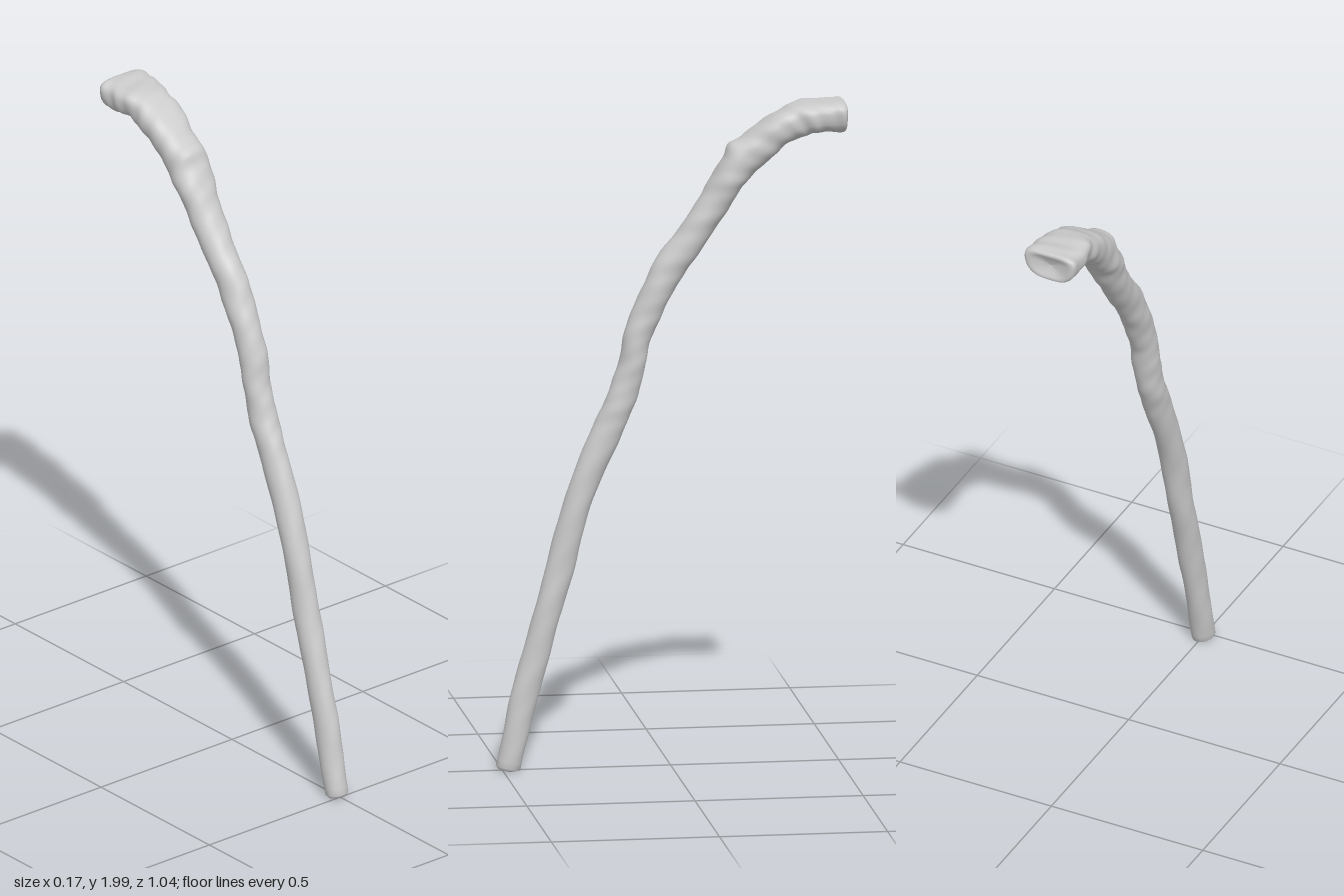
import * as THREE from 'three';

// Sections along the stick: y, z, half width in x, half thickness
const SECTIONS = [
  [0.008, 0.483, 0.034, 0.036], [0.2, 0.44, 0.035, 0.04], [0.4, 0.386, 0.037, 0.04],
  [0.6, 0.33, 0.038, 0.041], [0.8, 0.277, 0.039, 0.041], [1.0, 0.195, 0.040, 0.044],
  [1.1, 0.15, 0.041, 0.044], [1.2, 0.118, 0.042, 0.040], [1.3, 0.097, 0.043, 0.041],
  [1.4, 0.055, 0.044, 0.044], [1.5, 0.003, 0.046, 0.047], [1.6, -0.07, 0.048, 0.046],
  [1.7, -0.135, 0.056, 0.045], [1.785, -0.188, 0.064, 0.051], [1.86, -0.262, 0.066, 0.053],
  [1.918, -0.345, 0.072, 0.051], [1.942, -0.42, 0.081, 0.051], [1.942, -0.505, 0.09, 0.051],
];
const ROWS = 170, SIDES = 32;

function stickGeometry() {
  const spine = new THREE.CatmullRomCurve3(SECTIONS.map(([y, z]) => new THREE.Vector3(0, y, z)));
  const sizes = new THREE.CatmullRomCurve3(SECTIONS.map(([, , w, h]) => new THREE.Vector3(w, h, 0)));
  const positions = [], index = [];

  // One ring: t along the spine, scale shrinks it for the caps, push shifts it along the spine
  function addRing(t, scale, push) {
    const p = spine.getPoint(t), d = spine.getTangent(t), s = sizes.getPoint(t);
    const head = THREE.MathUtils.smoothstep(t, 0.65, 1);
    for (let j = 0; j < SIDES; j++) {
      const a = (j / SIDES) * Math.PI * 2, c = Math.cos(a), n = Math.sin(a);
      // Knobbly bark, stronger toward the head
      const bump = 1 + (0.025 + 0.015 * head) * (Math.sin(t * 95 + 2 * Math.sin(a)) * 0.6
        + Math.sin(t * 170 + 3 * a) * 0.5 + Math.sin(t * 61 - 2 * a));
      // Ledge on the upper side where the handle begins
      const ledge = 0.012 * Math.exp(-(((t - 0.79) / 0.012) ** 2)) * Math.max(0, n);
      // Head is squarer, wider above than below, with a slight groove on top and bottom
      const power = 1 - 0.25 * head;
      const cx = Math.sign(c) * Math.abs(c) ** power * (1 + 0.12 * head * (n - 0.6));
      const nn = Math.sign(n) * Math.abs(n) ** power * (1 - 0.1 * head * n * n * (1 - c * c));
      const x = s.x * cx * bump * scale;
      const up = (s.y * nn * bump + ledge) * scale;
      positions.push(x, Math.max(0, p.y - d.z * up + d.y * push), p.z + d.y * up + d.z * push);
    }
  }

  // Foot cap, shaft, then the rounded and dished end of the handle
  const rings = [[0, 0.01, -0.01], [0, 0.5, -0.01], [0, 0.85, -0.008]];
  for (let i = 0; i <= ROWS; i++) rings.push([i / ROWS, 1, 0]);
  rings.push([1, 0.96, 0.008], [1, 0.86, 0.012], [1, 0.7, 0.009], [1, 0.4, 0.001], [1, 0.01, -0.003]);
  rings.forEach((r) => addRing(...r));

  for (let i = 0; i < rings.length - 1; i++) {
    for (let j = 0; j < SIDES; j++) {
      const k = (j + 1) % SIDES, a = i * SIDES, b = a + SIDES;
      index.push(a + j, b + j, a + k, a + k, b + j, b + k);
    }
  }
  const geometry = new THREE.BufferGeometry();
  geometry.setAttribute('position', new THREE.Float32BufferAttribute(positions, 3));
  geometry.setIndex(index);
  geometry.computeVertexNormals();
  return geometry;
}

export function createModel() {
  const group = new THREE.Group();
  group.name = 'walkingStick';
  const stick = new THREE.Mesh(stickGeometry(), new THREE.MeshStandardMaterial({ color: 0xcccccc }));
  stick.name = 'curvedStick';
  group.add(stick);
  return group;
}
